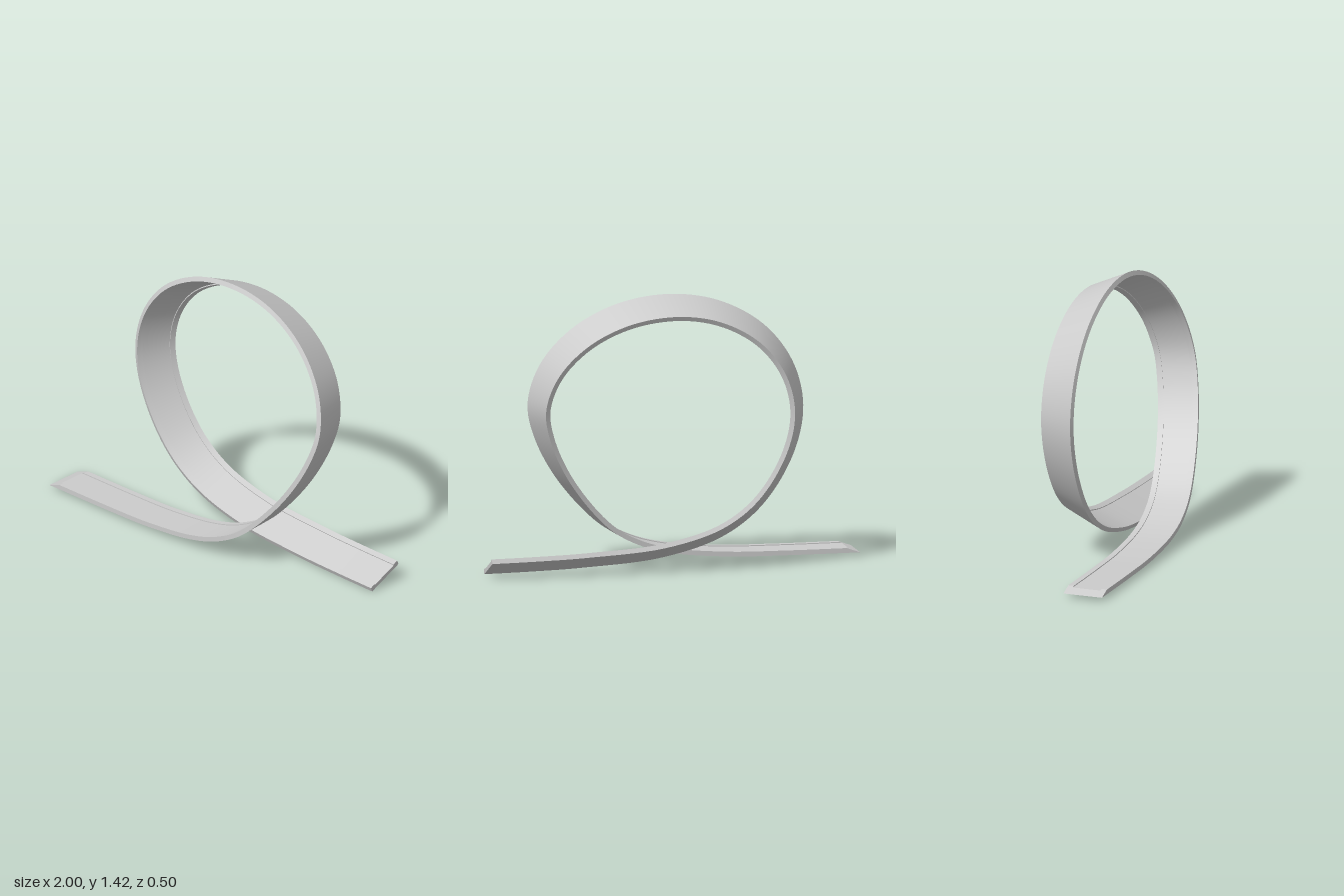
import * as THREE from 'three';

const SEGMENTS = 180;
const TILT = THREE.MathUtils.degToRad(24);
const BASE = 0.024, APEX = 1.43;

// Cross-section (across, height): a slab with a shallow groove between two rims
const PROFILE = [
  [0, 0], [0, 0.025], [0.03, 0.025], [0.03, 0.02],
  [0.183, 0.02], [0.183, 0.025], [0.213, 0.025], [0.213, 0],
];
const CAP = [[0, 1, 2], [0, 2, 3], [0, 3, 4], [0, 4, 7], [4, 5, 7], [5, 6, 7]];

// Side profile of the track's front lower edge
const PATH = [
  [-1, 0.024], [-0.6, 0.024], [-0.3, 0.03], [0, 0.06], [0.18, 0.11], [0.34, 0.2],
  [0.57, 0.447], [0.705, 0.69], [0.745, 0.87], [0.69, 1.075], [0.535, 1.26],
  [0.304, 1.386], [0.03, 1.43], [-0.24, 1.385], [-0.475, 1.25], [-0.626, 1.05],
  [-0.68, 0.82], [-0.63, 0.575], [-0.47, 0.315], [-0.26, 0.155], [0.06, 0.056],
  [0.49, 0.018], [0.75, 0.009], [1, 0.005],
];

// One ring of section points for every step along the loop
function makeRings() {
  const curve = new THREE.CatmullRomCurve3(PATH.map(([x, y]) => new THREE.Vector3(x, y, 0)));
  curve.arcLengthDivisions = 1000;
  const rings = [];
  let pastApex = false;
  for (let i = 0; i <= SEGMENTS; i++) {
    const t = i / SEGMENTS;
    const p = curve.getPointAt(t);
    const tangent = curve.getTangentAt(t);
    if (tangent.x < 0) pastApex = pastApex || p.x < 0.03;
    // the rising half slides backwards and banks; the falling half keeps both
    const rise = pastApex ? 1 : THREE.MathUtils.clamp((p.y - BASE) / (APEX - BASE), 0, 1);
    const z = 0.25 - 0.303 * rise;
    const tilt = TILT * rise;
    const inward = new THREE.Vector3(-tangent.y, tangent.x, 0);
    const back = new THREE.Vector3(0, 0, -1);
    const across = back.clone().multiplyScalar(Math.cos(tilt)).addScaledVector(inward, Math.sin(tilt));
    const up = inward.clone().multiplyScalar(Math.cos(tilt)).addScaledVector(back, -Math.sin(tilt));
    rings.push(PROFILE.map(([a, h]) => {
      const v = new THREE.Vector3(p.x, p.y, z).addScaledVector(across, a).addScaledVector(up, h);
      // bevelled entry: upper points start further along
      if (t < 0.1) v.x = Math.max(v.x, -1 + 2.8 * h);
      return v;
    }));
  }
  return rings;
}

function makeTrackGeometry() {
  const rings = makeRings();
  const positions = [], index = [];
  const add = (v) => positions.push(v.x, v.y, v.z) / 3 - 1;

  // One strip per side of the section keeps the long edges sharp
  PROFILE.forEach((_, k) => {
    const next = (k + 1) % PROFILE.length;
    const start = positions.length / 3;
    rings.forEach((ring) => { add(ring[k]); add(ring[next]); });
    for (let i = 0; i < SEGMENTS; i++) {
      const a = start + 2 * i;
      index.push(a, a + 2, a + 1, a + 1, a + 2, a + 3);
    }
  });

  // End caps
  const first = rings[0].map(add);
  const last = rings[SEGMENTS].map(add);
  CAP.forEach(([a, b, c]) => {
    index.push(first[a], first[b], first[c], last[a], last[c], last[b]);
  });

  const geometry = new THREE.BufferGeometry();
  geometry.setAttribute('position', new THREE.Float32BufferAttribute(positions, 3));
  geometry.setIndex(index);
  geometry.computeVertexNormals();
  return geometry;
}

export function createModel() {
  const group = new THREE.Group();
  group.name = 'loopTrack';
  const track = new THREE.Mesh(makeTrackGeometry(), new THREE.MeshStandardMaterial({ color: 0xcccccc }));
  track.name = 'bankedLoopRoadway';
  group.add(track);
  return group;
}
